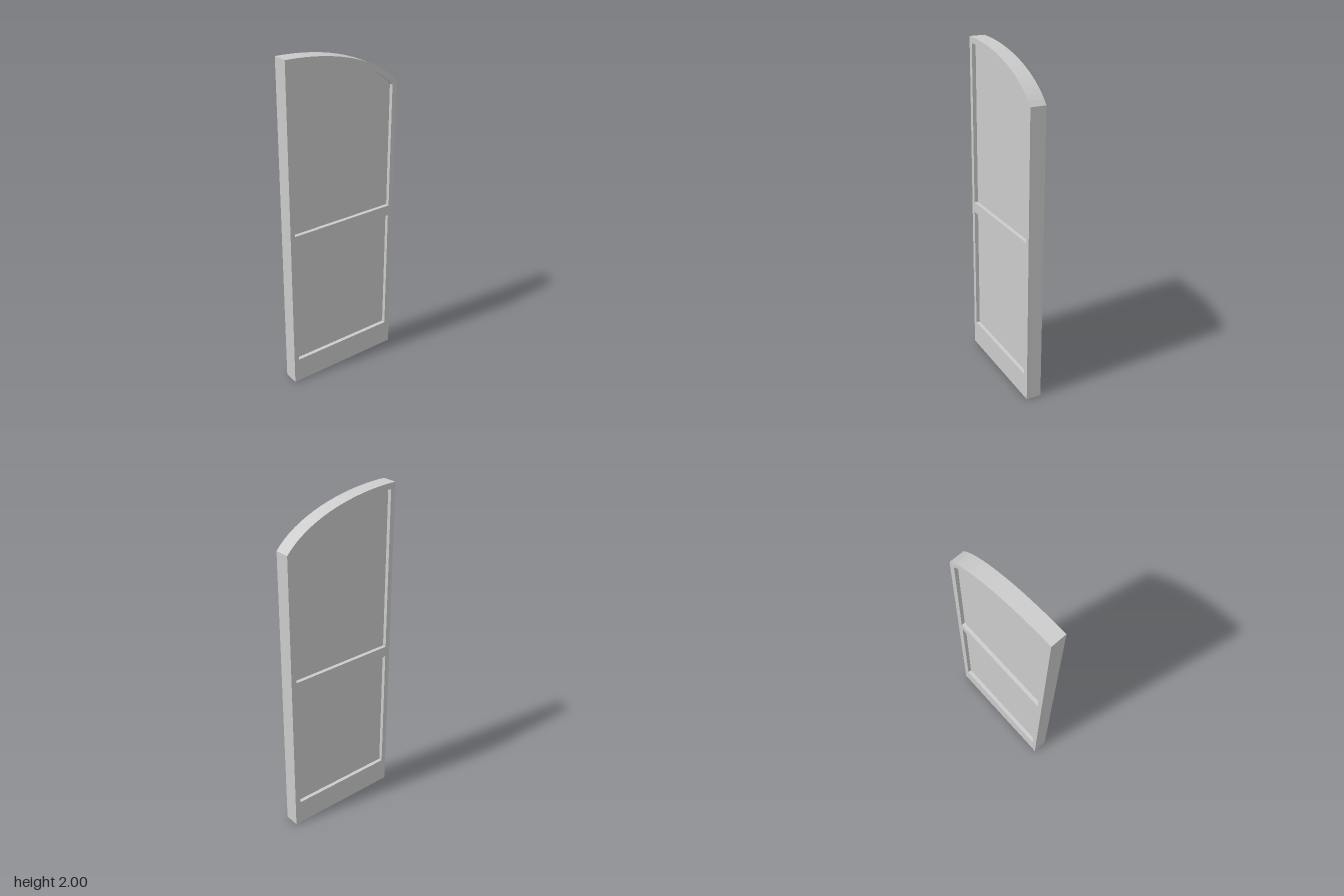
import * as THREE from 'three';

const material = new THREE.MeshStandardMaterial({ color: 0xcccccc, flatShading: true });
const HINGE = -0.365, LATCH = 0.363, THICK = 0.092;
const ARCH_Y = 1.613; // centre height of the quarter-elliptic arch

// points along the arch from u0 (high side) to u1 (low side)
function arch(a, b, u0, u1, n = 16) {
  const angle = (u) => Math.asin((u - HINGE) / a);
  const pts = [];
  for (let i = 0; i <= n; i++) {
    const t = THREE.MathUtils.lerp(angle(u0), angle(u1), i / n);
    pts.push(new THREE.Vector2(HINGE + a * Math.sin(t), ARCH_Y + b * Math.cos(t)));
  }
  return pts;
}

// outline with a flat bottom and the given top points (left to right)
function outline(bottom, top) {
  const first = top[0], last = top[top.length - 1];
  return [new THREE.Vector2(first.x, bottom), new THREE.Vector2(last.x, bottom), ...top.slice().reverse()];
}

// extrude a side profile across the door, from x0 to x1
function slab(name, shape, x0, x1) {
  const geometry = new THREE.ExtrudeGeometry(shape, { depth: x1 - x0, bevelEnabled: false });
  geometry.translate(0, 0, x0);
  geometry.rotateY(Math.PI / 2);
  const mesh = new THREE.Mesh(geometry, material);
  mesh.name = name;
  return mesh;
}

export function createModel() {
  const door = new THREE.Group();
  door.name = 'archedDoor';

  const upper = outline(1.0, arch(0.75, 0.353, -0.335, 0.33));
  const lower = outline(0.155, [new THREE.Vector2(-0.335, 0.935), new THREE.Vector2(0.327, 0.935)]);

  // frame with two openings
  const frame = new THREE.Shape(outline(0, arch(0.784, 0.387, HINGE, LATCH)));
  frame.holes.push(new THREE.Path(upper), new THREE.Path(lower));
  door.add(slab('frame', frame, -THICK / 2, THICK / 2));

  // panels recessed on both faces
  const inner = THICK / 2 - 0.023;
  door.add(slab('upperPanel', new THREE.Shape(upper), -inner, inner));
  door.add(slab('lowerPanel', new THREE.Shape(lower), -inner, inner));
  return door;
}
